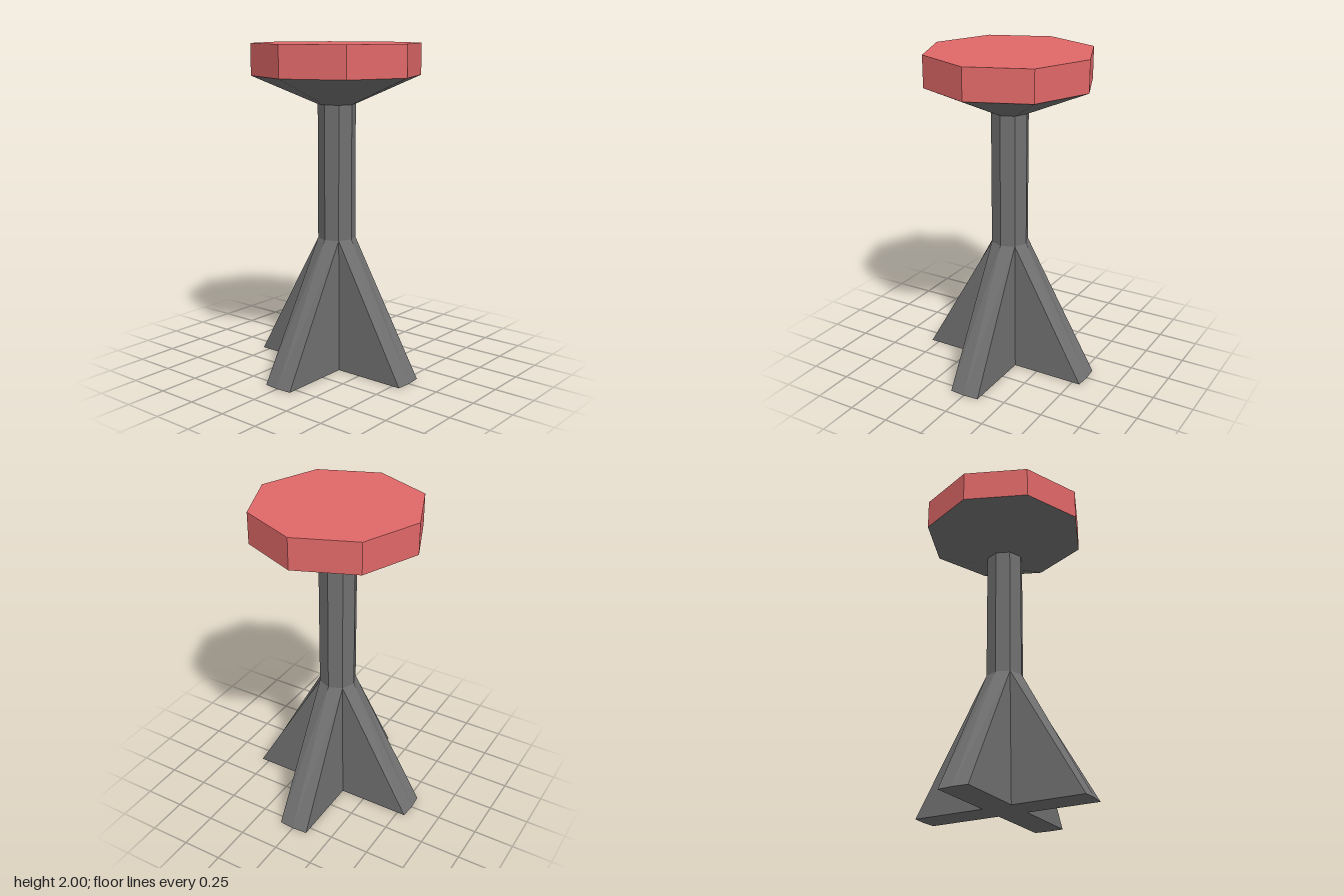
import * as THREE from 'three';

const SEAT_R = 0.51, STEM_R = 0.115;
const STEM_BOTTOM = 0.82, STEM_TOP = 1.64, SEAT_BOTTOM = 1.81, SEAT_TOP = 2;

// Octagonal tapered section between two heights
function section(name, rTop, rBottom, y0, y1, open, material) {
  const geometry = new THREE.CylinderGeometry(rTop, rBottom, y1 - y0, 8, 1, open);
  const mesh = new THREE.Mesh(geometry, material);
  mesh.position.y = (y0 + y1) / 2;
  mesh.name = name;
  return mesh;
}

// Cross-shaped foot that narrows to the octagonal stem
function footGeometry() {
  const half = 0.094, reach = 0.55, tip = 0.557;
  const c = STEM_R * Math.SQRT1_2;
  // One quarter of the outline as [x, z]; the three corner points share one stem corner
  const lowerQuarter = [[0, tip], [half, reach], [half, half], [reach, half]];
  const upperQuarter = [[0, STEM_R], [c, c], [c, c], [c, c]];
  const ring = (quarter, y) => {
    const points = [];
    for (let q = 0; q < 4; q++) {
      for (const [x, z] of quarter) {
        points.push(new THREE.Vector3(x, y, z).applyAxisAngle(new THREE.Vector3(0, 1, 0), q * Math.PI / 2));
      }
    }
    return points;
  };
  const low = ring(lowerQuarter, 0), high = ring(upperQuarter, STEM_BOTTOM);
  const centre = new THREE.Vector3();
  const positions = [];
  const triangle = (...corners) => corners.forEach((p) => positions.push(p.x, p.y, p.z));
  for (let i = 0; i < low.length; i++) {
    const j = (i + 1) % low.length;
    triangle(low[i], low[j], high[j]);
    if (high[i].distanceTo(high[j]) > 1e-4) triangle(low[i], high[j], high[i]);
    triangle(centre, low[j], low[i]); // underside
  }
  const geometry = new THREE.BufferGeometry();
  geometry.setAttribute('position', new THREE.Float32BufferAttribute(positions, 3));
  geometry.computeVertexNormals();
  return geometry;
}

export function createModel() {
  const group = new THREE.Group();
  group.name = 'stool';
  const red = new THREE.MeshStandardMaterial({ color: 0xe06868, flatShading: true });
  const dark = new THREE.MeshStandardMaterial({ color: 0x707070, flatShading: true });

  const foot = new THREE.Mesh(footGeometry(), dark);
  foot.name = 'foot';

  group.add(
    section('cushion', SEAT_R, SEAT_R, SEAT_BOTTOM, SEAT_TOP, false, red),
    section('seatSupport', SEAT_R, STEM_R, STEM_TOP, SEAT_BOTTOM, true, dark),
    section('stem', STEM_R, STEM_R, STEM_BOTTOM, STEM_TOP, true, dark),
    foot
  );
  return group;
}
